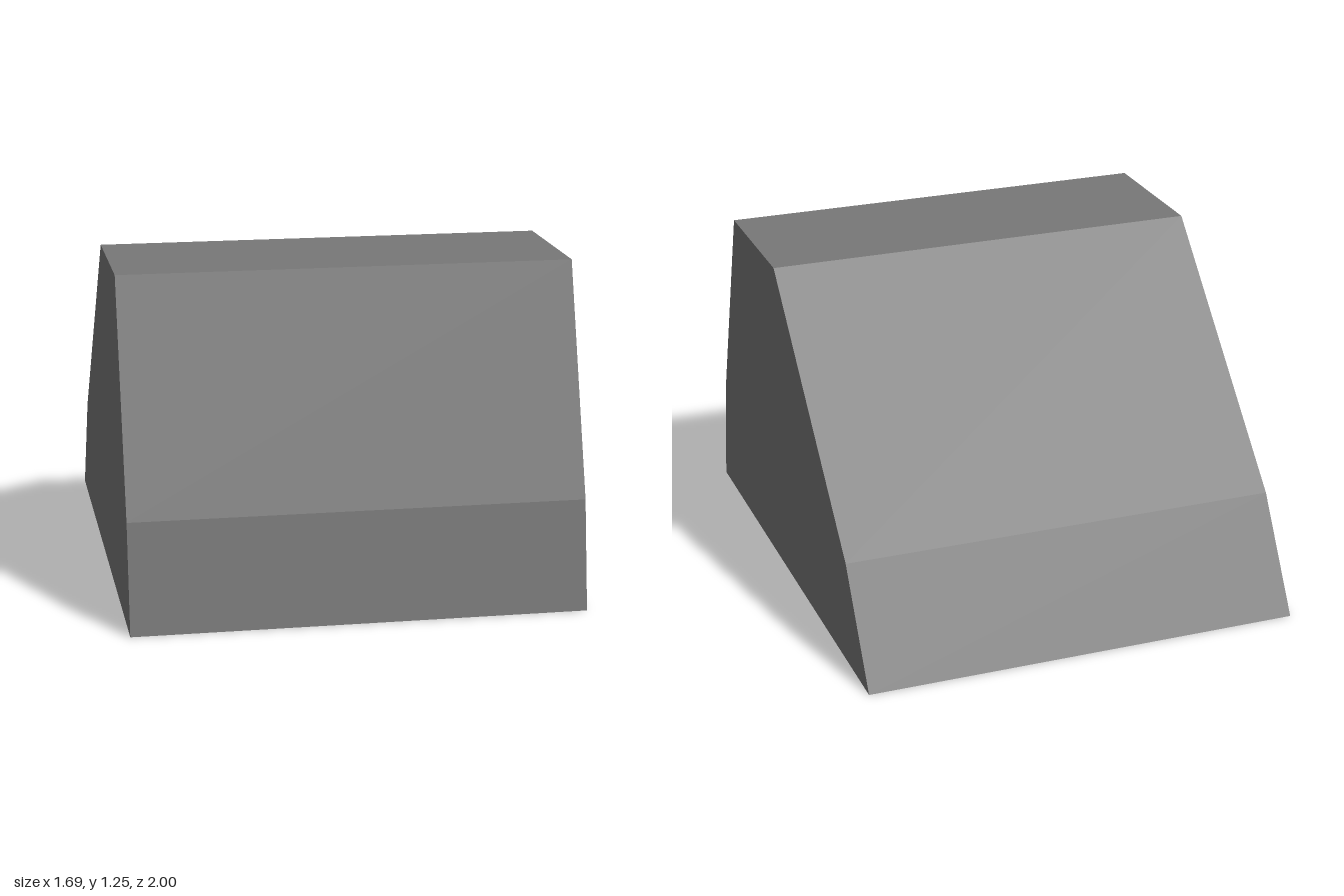
import * as THREE from 'three';

export function createModel() {
  const group = new THREE.Group();
  group.name = 'wedgeBlock';

  const grey = new THREE.MeshStandardMaterial({ color: 0x787878, flatShading: true });
  grey.name = 'grey';

  // Side profile as (z, y), swept across the width
  const width = 1.69;
  const profile = new THREE.Shape([
    [1, 0], [0.94, 0.41], [0.67, 1.255], [0.095, 1.255], [-0.75, 0.41], [-1, 0],
  ].map(([z, y]) => new THREE.Vector2(z, y)));

  const geometry = new THREE.ExtrudeGeometry(profile, { depth: width, bevelEnabled: false });
  geometry.rotateY(-Math.PI / 2); // profile runs along z, sweep along x
  geometry.translate(width / 2, 0, 0);

  const body = new THREE.Mesh(geometry, grey);
  body.name = 'body';
  group.add(body);
  return group;
}
